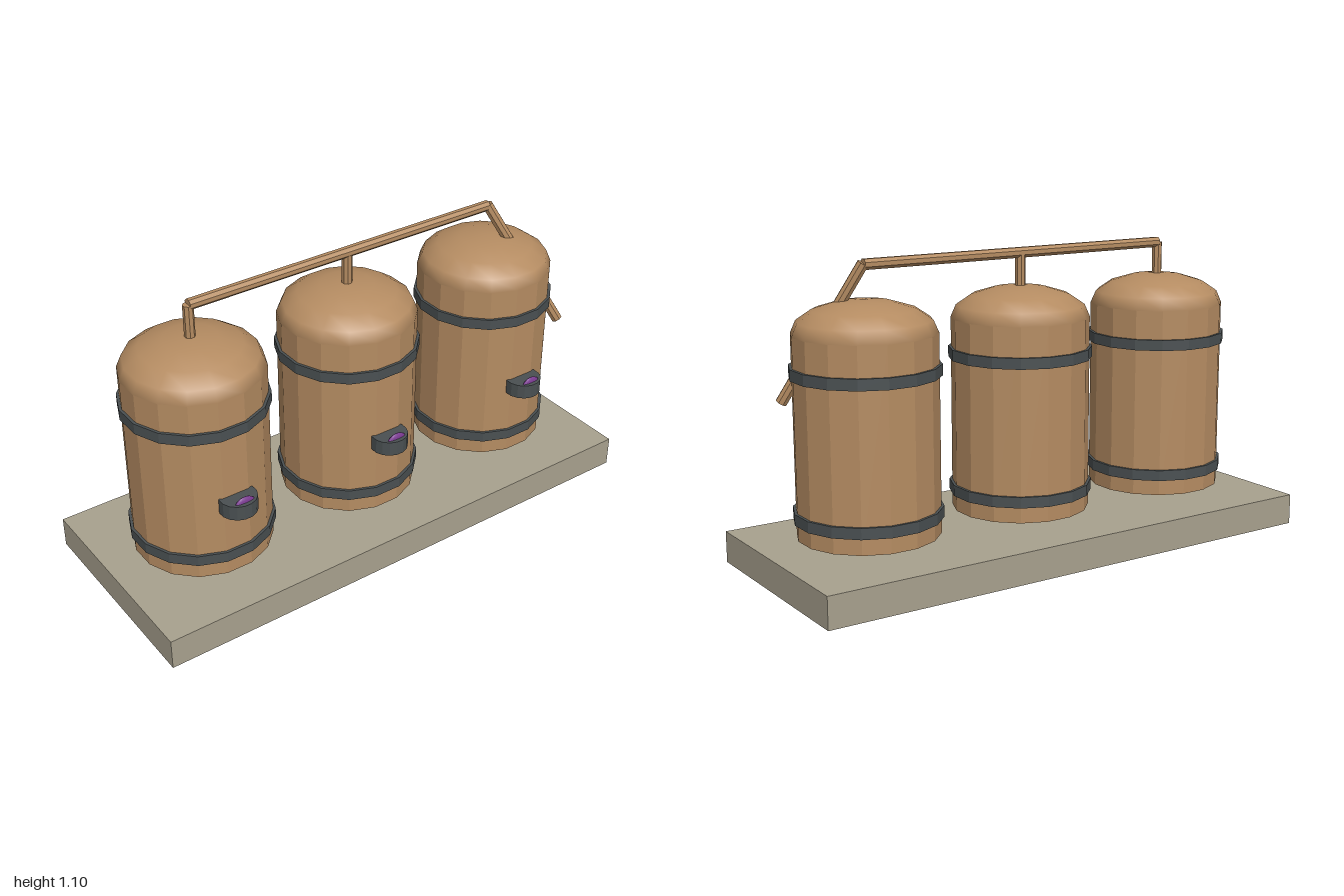
import * as THREE from 'three';

const material = (name, color) => Object.assign(new THREE.MeshStandardMaterial({ color }), { name });

export function createModel() {
  const copper = material('copper', 0xb58c62);
  const stone = material('stone', 0xa8a18e);
  const iron = material('dark iron', 0x4a5052);
  const purple = material('purple', 0x7b3a92);
  const model = new THREE.Group();
  model.name = 'tankRow';

  const add = (parent, name, geometry, mat, x = 0, y = 0, z = 0) => {
    const mesh = new THREE.Mesh(geometry, mat);
    mesh.name = name;
    mesh.position.set(x, y, z);
    parent.add(mesh);
    return mesh;
  };

  // Faceted upright drum with a flat side facing the front
  const drum = (radius, height, sides) => {
    const g = new THREE.CylinderGeometry(radius, radius, height, sides, 1, false, Math.PI / sides).toNonIndexed();
    g.computeVertexNormals();
    return g;
  };

  // Straight pipe between two points
  const pipe = (name, from, to, radius = 0.02) => {
    const a = new THREE.Vector3(...from), b = new THREE.Vector3(...to);
    const dir = b.clone().sub(a);
    const mid = a.clone().add(b).multiplyScalar(0.5);
    const mesh = add(model, name, drum(radius, dir.length(), 8), copper, mid.x, mid.y, mid.z);
    mesh.quaternion.setFromUnitVectors(new THREE.Vector3(0, 1, 0), dir.normalize());
  };

  // Base slab
  add(model, 'base', new THREE.BoxGeometry(2, 0.115, 0.8), stone, 0, 0.0575, 0);

  // Shared tank geometries
  const body = drum(0.252, 0.705, 16);
  const dome = new THREE.SphereGeometry(0.252, 16, 4, 0, Math.PI * 2, 0, Math.PI / 2);
  dome.rotateY(Math.PI / 16).scale(1, 0.115 / 0.252, 1);
  const band = drum(0.262, 0.04, 16);
  const valve = drum(0.068, 0.055, 16);
  const knob = new THREE.SphereGeometry(0.046, 12, 8).scale(1, 1, 0.23);

  // Three tanks, each with two bands and a front valve
  for (const x of [-0.635, 0, 0.635]) {
    const tank = new THREE.Group();
    tank.name = 'tank';
    tank.position.x = x;
    add(tank, 'body', body, copper, 0, 0.5025, 0);
    add(tank, 'dome', dome, copper, 0, 0.855, 0);
    add(tank, 'lowerBand', band, iron, 0, 0.228, 0);
    add(tank, 'upperBand', band, iron, 0, 0.728, 0);
    add(tank, 'valve', valve, iron, 0, 0.445, 0.258);
    add(tank, 'valveKnob', knob, purple, 0, 0.447, 0.302);
    model.add(tank);
  }

  // Header pipe, two risers and the slanted outlet passing through the last tank
  pipe('headerPipe', [-0.635, 1.086, 0], [0.635, 1.086, 0]);
  for (const x of [-0.635, 0]) pipe('riser', [x, 0.93, 0], [x, 1.086, 0], 0.019);
  pipe('outletPipe', [0.635, 1.09, 0], [0.87, 0.61, 0.175], 0.021);

  return model;
}
